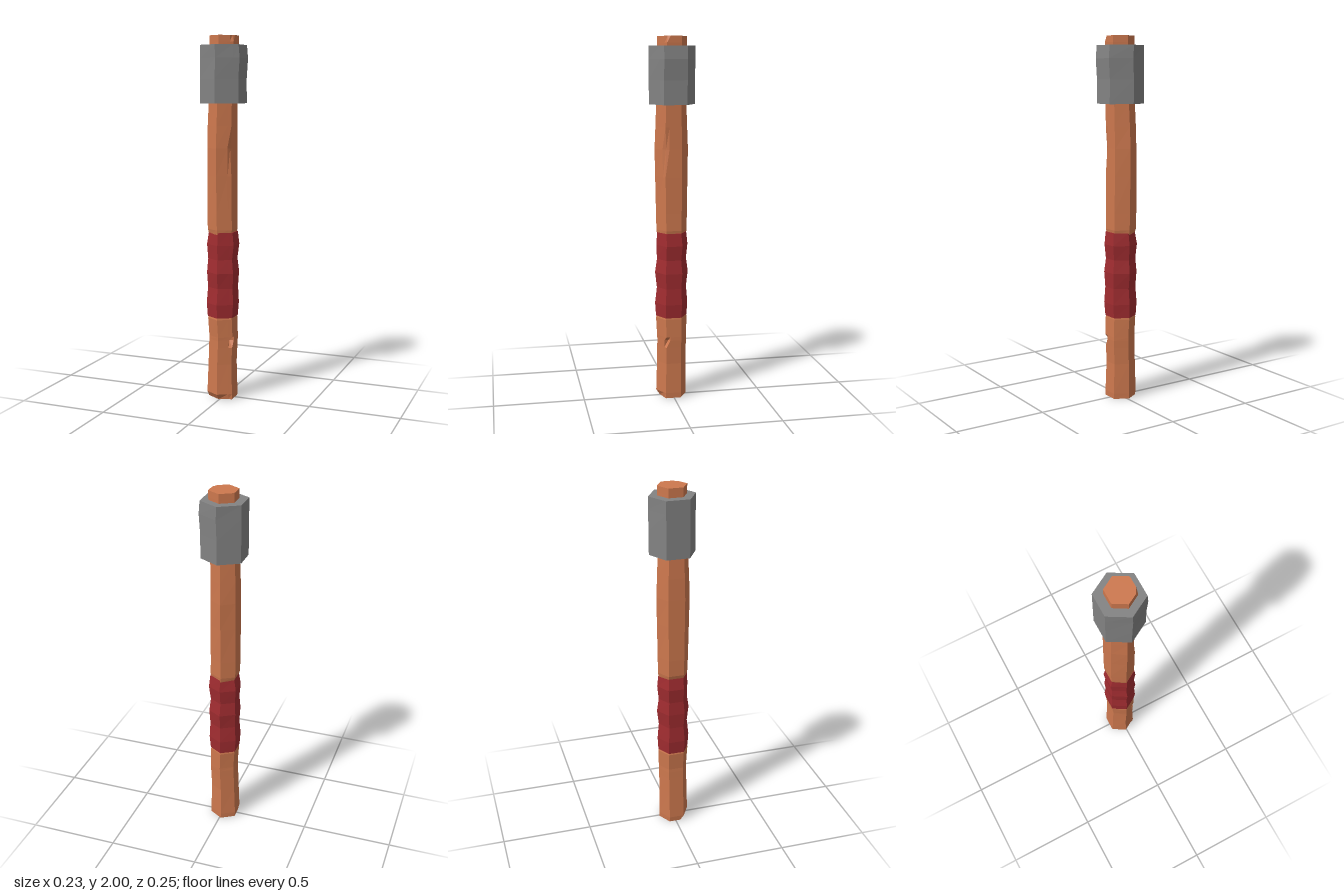
import * as THREE from 'three';

const material = (name, color) => {
  const m = new THREE.MeshStandardMaterial({ color });
  m.name = name;
  return m;
};

// Hexagonal cross-section with points towards +z and -z. The right front corner
// has a helper point on either side so it can be chipped on its own.
// ring = [y, xMin, xMax, zMin, zMax, chip, bevel]
function section([y, x0, x1, z0, z1, chip = 0, bevel = 0]) {
  const cx = (x0 + x1) / 2, cz = (z0 + z1) / 2, q = (z1 - z0) / 4;
  const v = (x, z) => new THREE.Vector3(x, y, z);
  const front = v(cx, z1 - bevel), corner = v(x1, cz + q), right = v(x1, cz - q);
  return [
    front,
    corner.clone().lerp(front, 0.25),
    corner.clone().lerp(v(cx, cz), chip),
    corner.clone().lerp(right, 0.25),
    right,
    v(cx, z0),
    v(x0, cz - q),
    v(x0, cz + q - bevel),
  ];
}

// Faceted solid through the rings, bottom to top, closed at both ends
function loft(name, mat, rings) {
  const s = rings.map(section), n = s[0].length, pos = [];
  const tri = (...pts) => pts.forEach((p) => pos.push(p.x, p.y, p.z));
  for (let r = 0; r < s.length - 1; r++) {
    for (let i = 0; i < n; i++) {
      const j = (i + 1) % n;
      tri(s[r][i], s[r][j], s[r + 1][j]);
      tri(s[r][i], s[r + 1][j], s[r + 1][i]);
    }
  }
  const bottom = s[0], top = s[s.length - 1];
  for (let i = 3; i < n + 1; i++) {
    // fans start beside the chipped corner
    const a = i % n, b = (i + 1) % n;
    tri(top[2], top[a], top[b]);
    tri(bottom[2], bottom[b], bottom[a]);
  }
  const g = new THREE.BufferGeometry();
  g.setAttribute('position', new THREE.Float32BufferAttribute(pos, 3));
  g.computeVertexNormals();
  const mesh = new THREE.Mesh(g, mat);
  mesh.name = name;
  return mesh;
}

export function createModel() {
  const wood = material('wood', 0xcd784e);
  const cloth = material('red wrap', 0xa02c30);
  const metal = material('grey metal', 0x838383);
  const model = new THREE.Group();
  model.name = 'hammer';

  // Lower handle, with a bevelled foot and a small notch
  model.add(loft('lowerHandle', wood, [
    [0, -0.08, 0.064, -0.08, 0.09, 0, 0.02],
    [0.03, -0.083, 0.065, -0.081, 0.09],
    [0.2, -0.077, 0.06, -0.079, 0.085],
    [0.295, -0.074, 0.064, -0.08, 0.084],
    [0.335, -0.073, 0.066, -0.081, 0.084, 0.35],
    [0.355, -0.072, 0.066, -0.081, 0.085],
    [0.455, -0.078, 0.063, -0.084, 0.09],
    [0.475, -0.072, 0.06, -0.08, 0.085],
  ]));

  // Wavy wrapped grip
  model.add(loft('grip', cloth, [
    [0.465, -0.08, 0.065, -0.084, 0.09],
    [0.54, -0.085, 0.071, -0.088, 0.095],
    [0.63, -0.079, 0.067, -0.08, 0.085],
    [0.715, -0.083, 0.071, -0.09, 0.095],
    [0.79, -0.078, 0.063, -0.08, 0.084],
    [0.87, -0.085, 0.072, -0.088, 0.087],
    [0.94, -0.074, 0.065, -0.08, 0.083],
  ]));

  // Upper handle, running through the head to a chipped top
  model.add(loft('upperHandle', wood, [
    [0.93, -0.073, 0.058, -0.08, 0.083],
    [0.955, -0.08, 0.062, -0.084, 0.086],
    [1.05, -0.082, 0.061, -0.085, 0.088],
    [1.25, -0.081, 0.06, -0.088, 0.092],
    [1.4, -0.08, 0.059, -0.09, 0.095, 0.11],
    [1.52, -0.078, 0.06, -0.085, 0.09],
    [1.64, -0.073, 0.061, -0.08, 0.086],
    [1.95, -0.069, 0.068, -0.08, 0.08],
    [1.965, -0.069, 0.069, -0.08, 0.08],
    [2, -0.069, 0.069, -0.08, 0.08, 0.125],
  ]));

  // Metal head block, slightly dented on one side
  model.add(loft('head', metal, [
    [1.64, -0.115, 0.106, -0.127, 0.126],
    [1.77, -0.115, 0.105, -0.127, 0.126],
    [1.88, -0.115, 0.112, -0.128, 0.126],
    [1.95, -0.115, 0.106, -0.128, 0.126],
  ]));

  return model;
}
